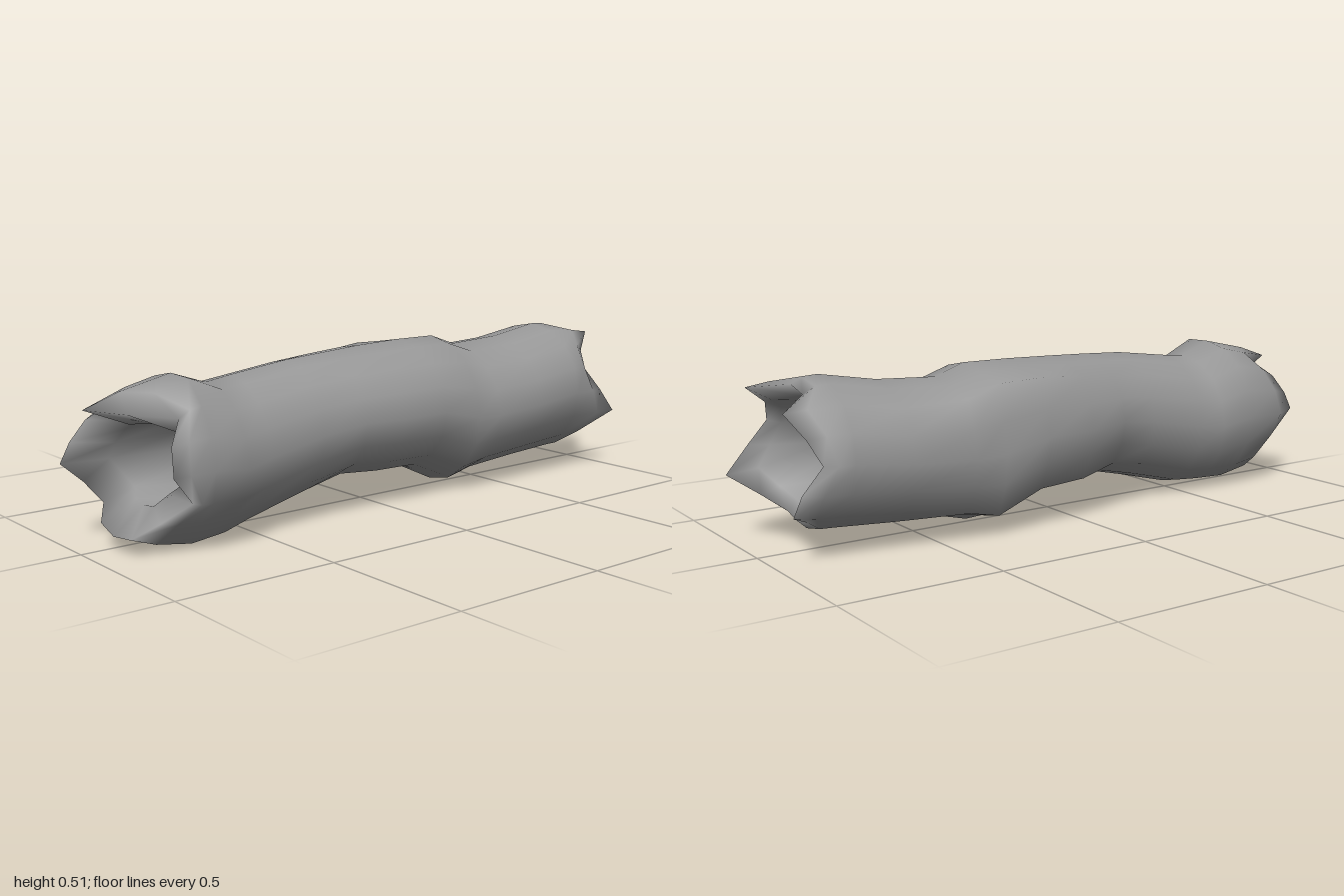
import * as THREE from 'three';

// Outer cross-sections along the log: x, top y, bottom y, front z, back z
const SECTIONS = [
  [-0.91, 0.455, 0.028, 0.262, -0.175],
  [-0.72, 0.49, 0.002, 0.266, -0.19],
  [-0.6, 0.45, 0.01, 0.25, -0.19],
  [-0.5, 0.46, 0.02, 0.212, -0.187],
  [-0.3, 0.485, 0.07, 0.205, -0.18],
  [-0.15, 0.493, 0.105, 0.22, -0.215],
  [0, 0.5, 0.09, 0.225, -0.25],
  [0.17, 0.505, 0.085, 0.226, -0.262],
  [0.32, 0.505, 0.015, 0.225, -0.255],
  [0.42, 0.47, 0.04, 0.222, -0.252],
  [0.62, 0.48, 0.055, 0.22, -0.248],
  [0.8, 0.51, 0.065, 0.218, -0.235],
  [0.95, 0.5, 0.07, 0.225, -0.215],
];

// Jagged end outlines, by angle from front (+z) over the top and round
const COLS = 16;
const LEFT_END = [0.93, 0.88, 0.9, 0.98, 0.88, 0.88, 0.97, 0.92, 0.88, 0.94, 0.95, 0.88, 0.88, 0.87, 0.92, 1];
const RIGHT_END = [-0.85, -0.84, -0.78, -0.9, -1, -0.89, -0.93, -0.97, -1, -0.93, -0.88, -0.92, -0.92, -0.91, -0.85, -0.78];
// How far the rim curls inward at each angle
const LEFT_CURL = [0.92, 0.87, 0.87, 0.96, 0.92, 0.9, 0.97, 0.9, 0.87, 0.92, 0.96, 0.9, 0.87, 0.9, 0.92, 1];
const RIGHT_CURL = [0.98, 0.94, 0.85, 0.8, 0.82, 0.82, 0.8, 0.72, 0.68, 0.75, 0.82, 0.85, 0.9, 0.94, 0.95, 0.95];

// Swellings and dents: column, x, half length, amount
const SWELLS = [
  [6, 0.22, 0.26, 0.19],
  [9, 0.3, 0.25, 0.02],
  [10, 0.22, 0.35, 0.12],
  [11, 0.32, 0.15, -0.05],
  [3, -0.72, 0.13, 0.07],
  [13, -0.72, 0.17, 0.04],
  [14, -0.72, 0.22, -0.07],
];

// Interpolate the section table at any x
function sectionAt(x) {
  const last = SECTIONS.length - 1;
  if (x <= SECTIONS[0][0]) return SECTIONS[0];
  if (x >= SECTIONS[last][0]) return SECTIONS[last];
  let i = 0;
  while (SECTIONS[i + 1][0] < x) i++;
  const a = SECTIONS[i], b = SECTIONS[i + 1];
  const t = (x - a[0]) / (b[0] - a[0]);
  return a.map((v, k) => v + (b[k] - v) * t);
}

// Point on the bark (scale 1) or nearer the axis (scale < 1)
function wallPoint(x, col, scale) {
  const [, top, bottom, front, back] = sectionAt(x);
  const angle = (col / COLS) * Math.PI * 2;
  let r = scale;
  for (const [c, at, length, amount] of SWELLS) {
    if (c === col) r *= 1 + amount * Math.exp(-(((x - at) / length) ** 4));
  }
  return [
    x,
    (top + bottom) / 2 + (Math.sin(angle) * r * (top - bottom)) / 2,
    (front + back) / 2 + (Math.cos(angle) * r * (front - back)) / 2,
  ];
}

export function createModel() {
  const rows = [];
  const addRing = (xOf, scaleOf) =>
    rows.push(Array.from({ length: COLS }, (_, c) => wallPoint(xOf(c), c, scaleOf(c))));
  const mix = (a, b, t) => a + (b - a) * t;
  const rightX = (t) => (c) => mix(-0.72, RIGHT_END[c], t);
  const leftX = (t) => (c) => mix(0.8, LEFT_END[c], t);

  // Bark, from the right rim to the left rim
  addRing(rightX(1), (c) => RIGHT_CURL[c]);
  addRing(rightX(0.6), (c) => mix(1, RIGHT_CURL[c], 0.12));
  SECTIONS.slice(1, -1).forEach((s) => addRing(() => s[0], () => 1));
  addRing(leftX(0.6), () => 1);
  addRing(leftX(1), (c) => LEFT_CURL[c]);
  // Hollow, back from the left rim to the right rim
  addRing(leftX(0.6), () => 0.75);
  for (const x of [0.72, 0.3, -0.15, -0.6]) addRing(() => x, () => 0.67);
  addRing(rightX(0.5), () => 0.53);

  // Join the rings into one closed wall
  const n = rows.length;
  const index = [];
  for (let u = 0; u < n; u++) {
    for (let v = 0; v < COLS; v++) {
      const u2 = (u + 1) % n, v2 = (v + 1) % COLS;
      const a = u * COLS + v, b = u2 * COLS + v, c = u2 * COLS + v2, d = u * COLS + v2;
      index.push(a, b, c, a, c, d);
    }
  }
  const geometry = new THREE.BufferGeometry();
  geometry.setAttribute('position', new THREE.Float32BufferAttribute(rows.flat(2), 3));
  geometry.setIndex(index);
  geometry.computeVertexNormals();

  const log = new THREE.Mesh(geometry, new THREE.MeshStandardMaterial({ color: 0x999999 }));
  log.name = 'hollowLog';
  const group = new THREE.Group();
  group.name = 'log';
  group.add(log);
  return group;
}
